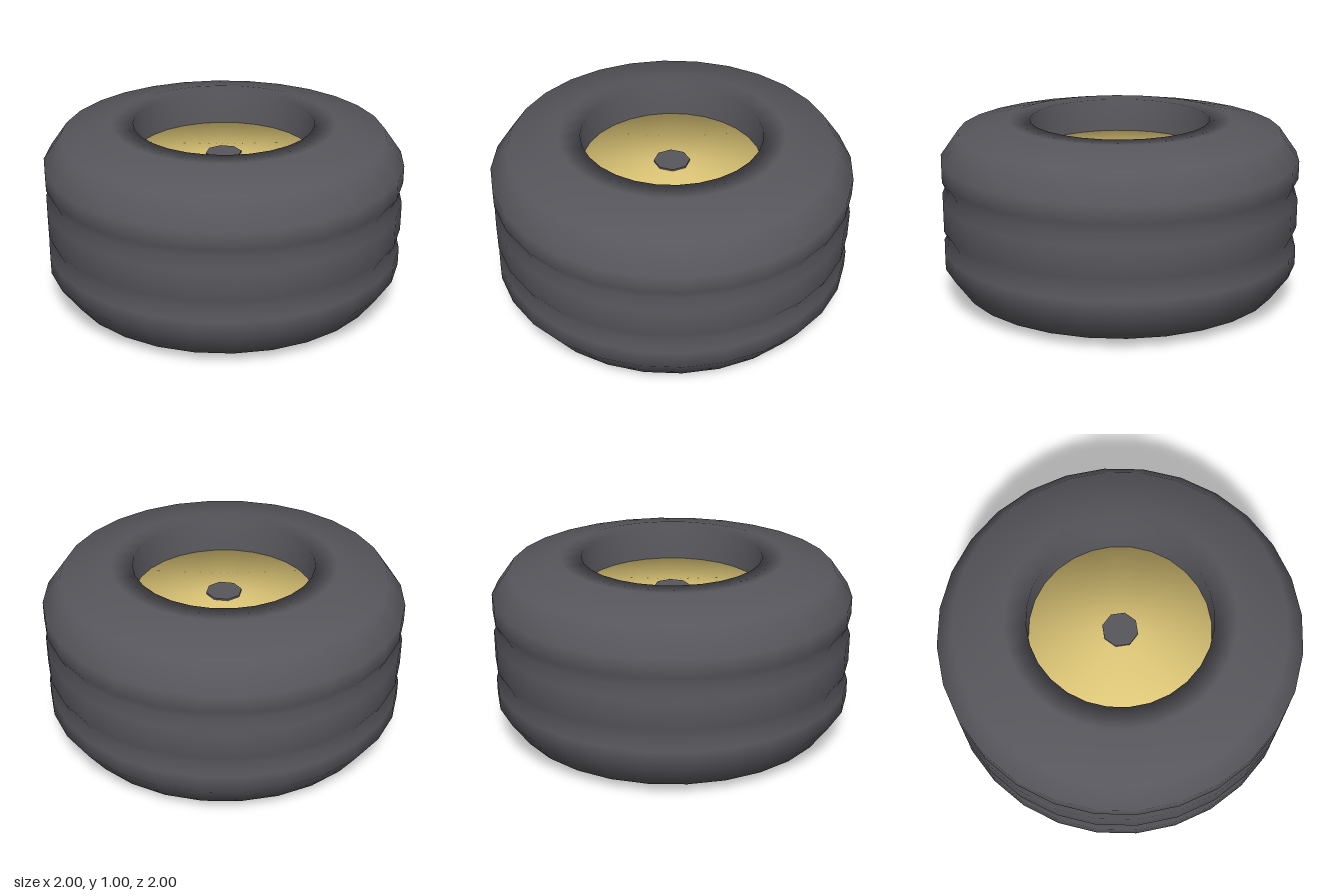
import * as THREE from 'three';

const SIDES = 28;

// Smooth solid of revolution about y from [radius, height] pairs, bottom to top
function lathe(profile, material, name) {
  const points = profile.map(([r, y]) => new THREE.Vector2(r, y));
  const mesh = new THREE.Mesh(new THREE.LatheGeometry(points, SIDES), material);
  mesh.name = name;
  return mesh;
}

export function createModel() {
  const rubber = new THREE.MeshStandardMaterial({ color: 0x57565c });
  rubber.name = 'dark rubber';
  const brass = new THREE.MeshStandardMaterial({ color: 0xdfc878 });
  brass.name = 'pale brass';

  const model = new THREE.Group();
  model.name = 'wheel';

  // Tyre: lower half of the section, mirrored about y = 0.5 for the upper half
  const half = [
    [0.5, 0.5], [0.5, 0], [0.62, 0], [0.9, 0.06], [1, 0.2],
    [1, 0.3], [0.97, 0.36], [1, 0.42],
  ];
  const upper = half.map(([r, y]) => [r, 1 - y]).reverse();
  model.add(lathe([...half, ...upper], rubber, 'tyre'));

  // Hub disc filling the bore, with softly shaded rims
  model.add(lathe([[0, 0.18], [0.5, 0.18], [0.5, 0.81], [0, 0.81]], brass, 'hub'));

  // Octagonal axle end on the outer face only
  const axle = new THREE.Mesh(new THREE.CylinderGeometry(0.1, 0.1, 0.3, 8), rubber);
  axle.name = 'axleCap';
  axle.position.y = 0.67;
  model.add(axle);

  return model;
}
